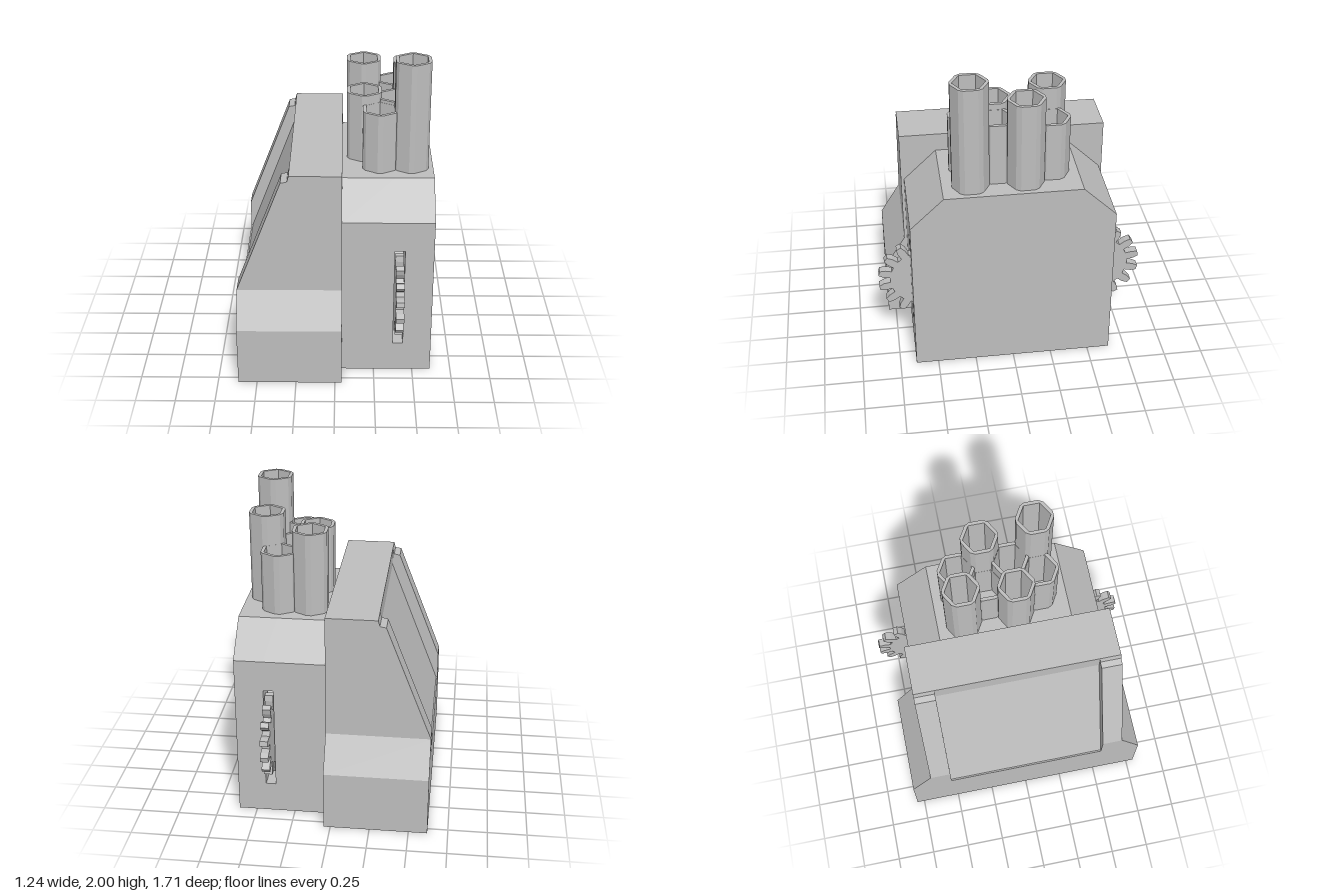
import * as THREE from 'three';

const shapeOf = (pts) => new THREE.Shape(pts.map(([a, b]) => new THREE.Vector2(a, b)));

export function createModel() {
  const model = new THREE.Group();
  const grey = new THREE.MeshStandardMaterial({ color: 0xbdbdbd });
  grey.name = 'plain grey';

  const add = (name, geometry) => {
    const mesh = new THREE.Mesh(geometry, grey);
    mesh.name = name;
    model.add(mesh);
    return mesh;
  };
  const extrude = (shape, depth) => new THREE.ExtrudeGeometry(shape, { depth, bevelEnabled: false });
  // (x, y) outline swept from z0 to z1
  const alongZ = (pts, z0, z1) => extrude(shapeOf(pts), z1 - z0).translate(0, 0, z0);
  // (z, y) outline swept from x0 to x1
  const alongX = (pts, x0, x1) => extrude(shapeOf(pts), x1 - x0).rotateY(-Math.PI / 2).translate(x1, 0, 0);

  // Console: sloped rails at both ends with a recessed panel between them
  const L = -0.62, R = 0.043, railZ = 0.665, panelZ = 0.53, top = 1.405;
  const rail = [[L, 0], [R, 0], [R, top], [-0.28, top], [-0.29, 1.368], [-0.33, 1.36], [L, 0.61]];
  const panel = [[L, 0], [R, 0], [R, top], [-0.28, top], [-0.28, 1.29], [-0.61, 0.43], [L, 0.43]];
  add('consolePanel', alongZ(panel, -panelZ, panelZ));
  add('frontRail', alongZ(rail, panelZ, railZ));
  add('backRail', alongZ(rail, -railZ, -panelZ));

  // Flared feet of the console, front and back
  const foot = [[railZ, 0], [0.8, 0], [0.8, 0.39], [railZ, 0.61]];
  const mirrored = (pts) => pts.map(([z, y]) => [-z, y]).reverse();
  add('frontFoot', alongX(foot, L, R));
  add('backFoot', alongX(mirrored(foot), L, R));

  // Engine block in three slabs; the thin middle slab is notched for the gears
  const half = [[0.645, 0], [0.645, 1.08], [0.433, 1.285]];
  const notched = [[0.645, 0], [0.645, 0.2], [0.29, 0.2], [0.29, 0.88], [0.645, 0.88], [0.645, 1.08], [0.433, 1.285]];
  const full = (pts) => [...pts, ...mirrored(pts)];
  const slot0 = 0.372, slot1 = 0.436;
  add('blockInner', alongX(full(half), R, slot0));
  add('blockSlots', alongX(full(notched), slot0, slot1));
  add('blockOuter', alongX(full(half), slot1, 0.617));

  // Gears half sunk into the slots
  const teeth = 15, gear = [];
  for (let i = 0; i < teeth; i++) {
    const mid = ((i + 0.5) / teeth) * Math.PI * 2;
    for (const [r, a] of [[0.203, -0.13], [0.245, -0.11], [0.28, -0.06], [0.28, 0.06], [0.245, 0.11], [0.203, 0.13]]) {
      gear.push([Math.cos(mid + a) * r, Math.sin(mid + a) * r]);
    }
  }
  add('frontGear', alongX(gear, 0.378, 0.43)).position.set(0, 0.56, 0.578);
  add('backGear', alongX(mirrored(gear), 0.378, 0.43)).position.set(0, 0.56, -0.578);

  // Hollow hexagonal pipes with clipped corners: x, z, top height
  const roof = 1.285;
  const pipes = [
    [0.18, -0.26, 1.82], [0.378, -0.26, 1.675],
    [0.279, -0.089, 1.6], [0.476, -0.089, 1.87],
    [0.18, 0.083, 1.735], [0.378, 0.083, 1.695],
    [0.279, 0.254, 1.675], [0.476, 0.254, 2],
  ];
  const outer = [], inner = [];
  for (let i = 0; i < 6; i++) {
    const a = Math.PI / 6 + (i * Math.PI) / 3;
    for (const d of [-0.145, 0.145]) outer.push([Math.cos(a + d) * 0.1172, Math.sin(a + d) * 0.1172]);
    inner.push(new THREE.Vector2(Math.cos(a) * 0.101, Math.sin(a) * 0.101));
  }
  const ring = shapeOf(outer);
  ring.holes.push(new THREE.Path(inner));
  pipes.forEach(([x, z, h], i) => {
    add('pipe' + (i + 1), extrude(ring, h - roof).rotateX(-Math.PI / 2)).position.set(x, roof, z);
  });

  return model;
}
